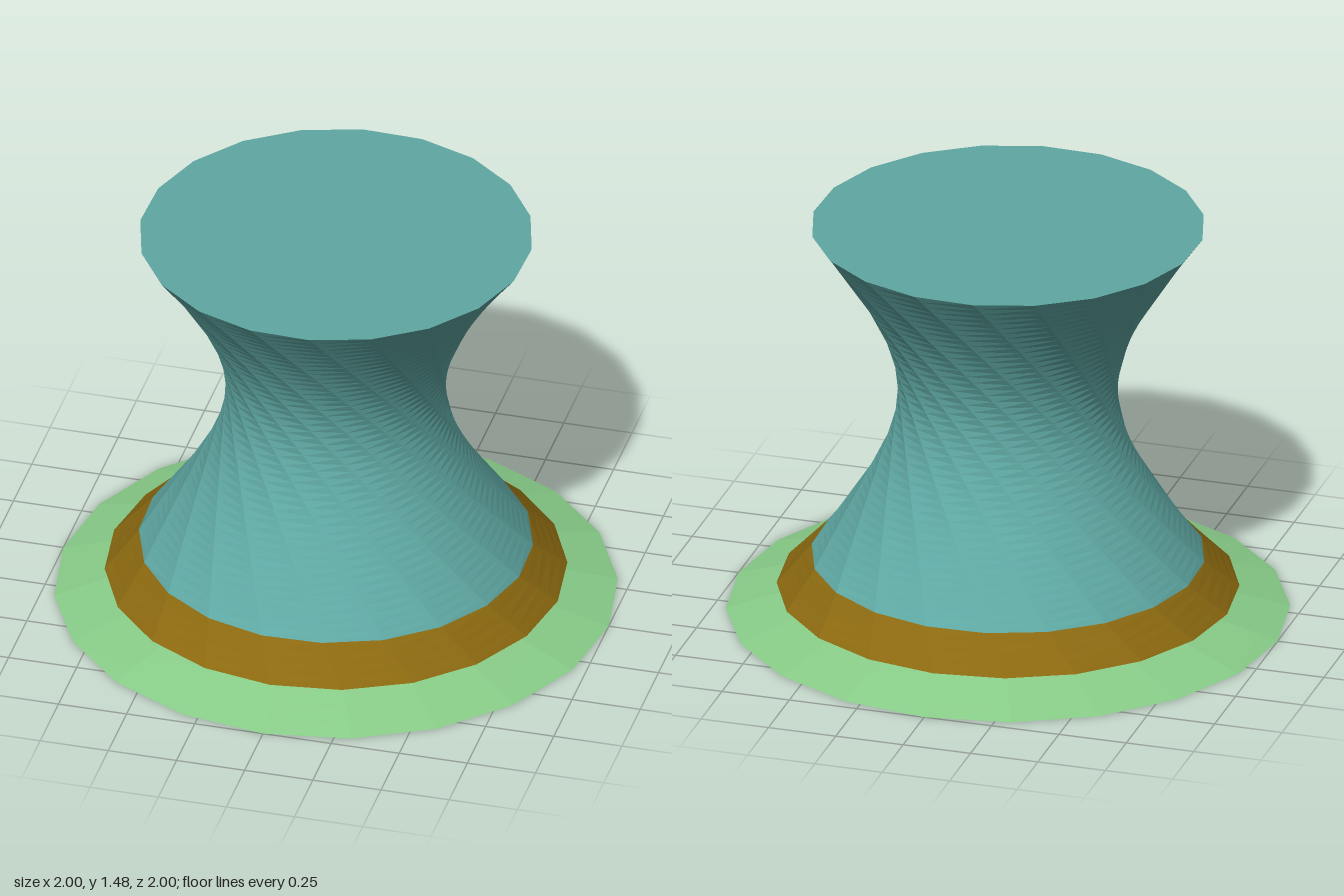
import * as THREE from 'three';

const SIDES = 20;

// Point of a ring: turn is in degrees, clockwise from the back as seen from above
function ringPoint(ring, i) {
  const a = THREE.MathUtils.degToRad(ring.turn + (i * 360) / SIDES);
  return new THREE.Vector3(ring.r * Math.sin(a), ring.y, -ring.r * Math.cos(a));
}

// Closed solid whose side is ruled by straight lines between two turned polygons
function twistedSolid(name, color, low, high, rows) {
  const pos = [];
  const tri = (...pts) => pts.forEach((p) => pos.push(p.x, p.y, p.z));
  const at = (i, j) => ringPoint(low, i).lerp(ringPoint(high, i), j / rows);
  const lowCentre = new THREE.Vector3(0, low.y, 0);
  const highCentre = new THREE.Vector3(0, high.y, 0);

  for (let i = 0; i < SIDES; i++) {
    for (let j = 0; j < rows; j++) {
      const a = at(i + 1, j), b = at(i, j), c = at(i, j + 1), d = at(i + 1, j + 1);
      tri(a, b, c);
      tri(a, c, d);
    }
    // End caps
    tri(lowCentre, at(i, 0), at(i + 1, 0));
    tri(highCentre, at(i + 1, rows), at(i, rows));
  }

  const geometry = new THREE.BufferGeometry();
  geometry.setAttribute('position', new THREE.Float32BufferAttribute(pos, 3));
  geometry.computeVertexNormals();
  const mesh = new THREE.Mesh(geometry, new THREE.MeshStandardMaterial({ color, flatShading: true }));
  mesh.name = name;
  return mesh;
}

export function createModel() {
  const group = new THREE.Group();
  group.name = 'twistedPedestal';

  // Wide shallow foot
  group.add(twistedSolid('base', 0x88cc88,
    { r: 1, y: 0, turn: 0 }, { r: 0.7, y: 0.09, turn: 1.6 }, 4));

  // Sloping collar overhanging the foot
  group.add(twistedSolid('collar', 0x8b6910,
    { r: 0.82, y: 0.09, turn: 1.6 }, { r: 0.7, y: 0.21, turn: 7.1 }, 4));

  // Waisted body: straight ridges turned about a third of a circle
  group.add(twistedSolid('body', 0x5fa8a3,
    { r: 0.7, y: 0.21, turn: 7.1 }, { r: 0.7, y: 1.48, turn: 7.1 + 111.8 }, 48));

  return group;
}
